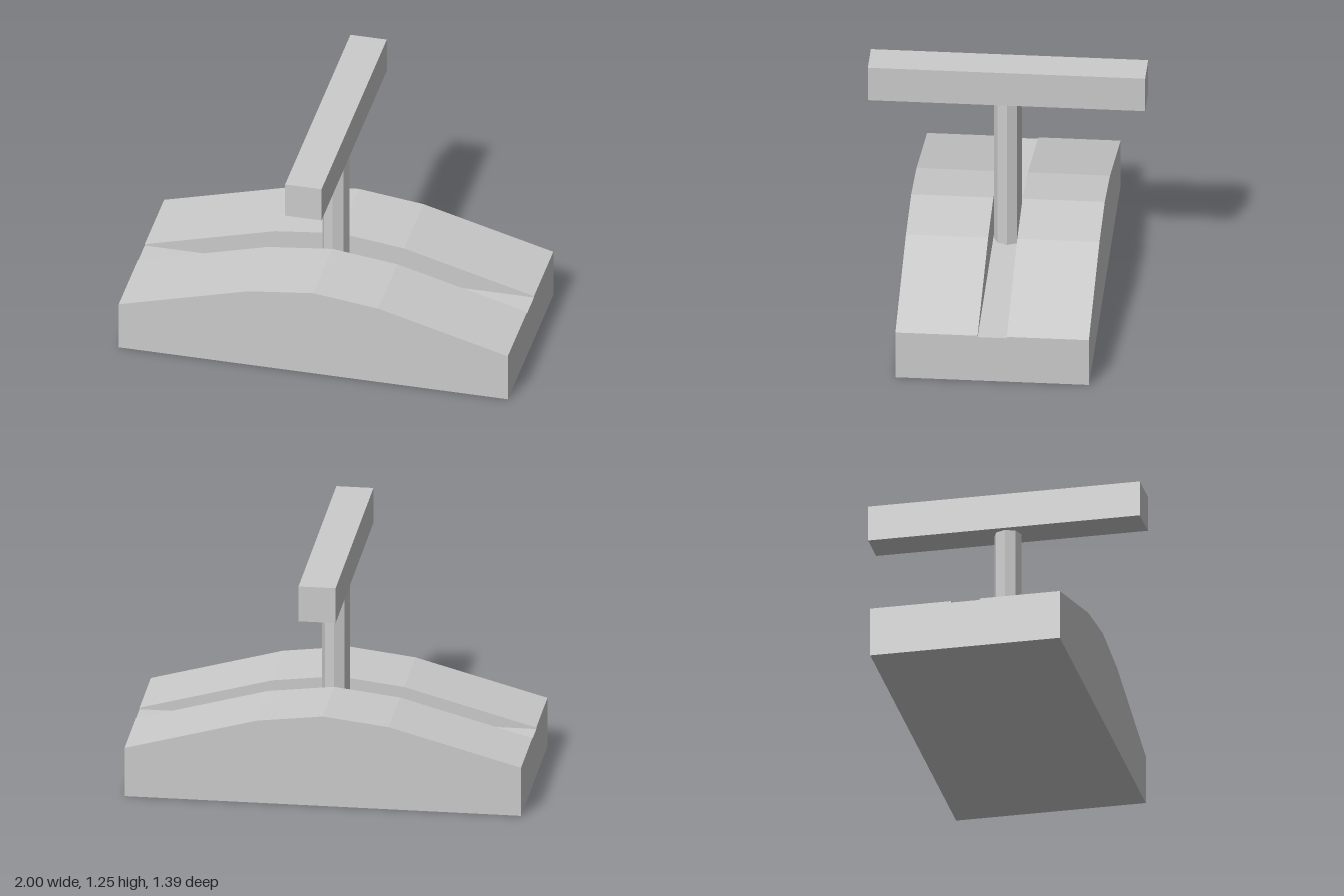
import * as THREE from 'three';

const material = new THREE.MeshStandardMaterial({ color: 0xcccccc, flatShading: true });

const HALF_DEPTH = 0.485; // half the depth of the base
const SLOT = 0.073;       // half the width of the slot
const FLOOR = 0.25;       // height of the slot floor

export function createModel() {
  const model = new THREE.Group();

  const add = (name, geometry, x, y, z) => {
    const mesh = new THREE.Mesh(geometry, material);
    mesh.name = name;
    mesh.position.set(x, y, z);
    model.add(mesh);
  };

  // Arched base halves, one on each side of the slot
  const arch = new THREE.Shape([
    [-1, 0], [1, 0], [1, 0.258], [0.333, 0.44], [0, 0.48], [-0.333, 0.44], [-1, 0.258],
  ].map(([x, y]) => new THREE.Vector2(x, y)));
  const half = new THREE.ExtrudeGeometry(arch, { depth: HALF_DEPTH - SLOT, bevelEnabled: false });
  add('baseFront', half, 0, 0, SLOT);
  add('baseBack', half, 0, 0, -HALF_DEPTH);

  // Flat slot floor joining the halves
  add('slotFloor', new THREE.BoxGeometry(2, FLOOR, 2 * SLOT), 0, FLOOR / 2, 0);

  // Octagonal post standing in the slot
  const top = 1.067;
  add('post', new THREE.CylinderGeometry(0.07, 0.07, top - FLOOR, 8), 0, (top + FLOOR) / 2, 0);

  // Crossbar handle running front to back
  add('handle', new THREE.BoxGeometry(0.187, 0.187, 1.39), 0, top + 0.0935, 0);

  return model;
}
